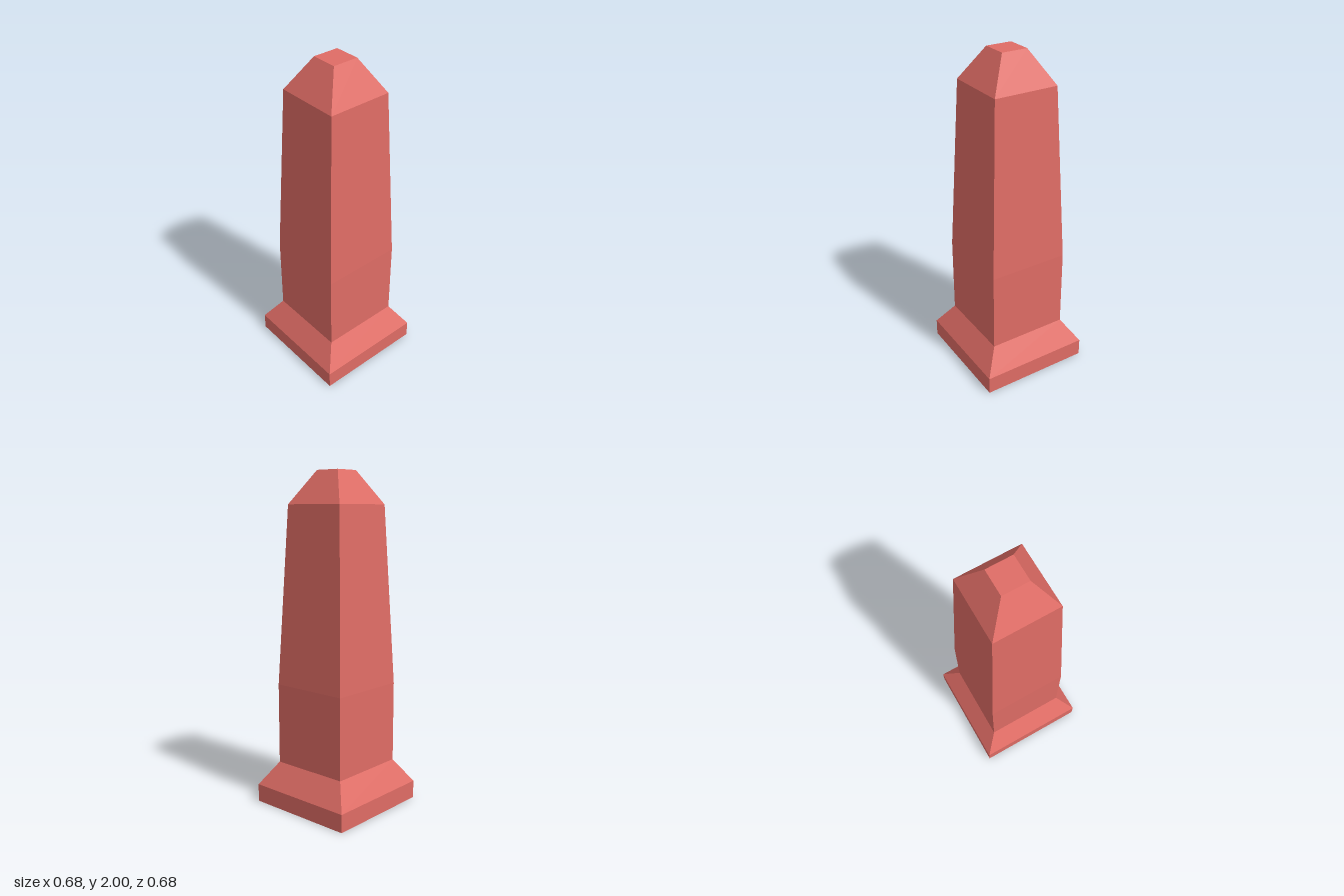
import * as THREE from 'three';

export function createModel() {
  const group = new THREE.Group();
  group.name = 'obelisk';
  const stone = new THREE.MeshStandardMaterial({ color: 0xdf6c65 });
  stone.name = 'red stone';

  function add(name, geometry) {
    const mesh = new THREE.Mesh(geometry, stone);
    mesh.name = name;
    group.add(mesh);
  }

  // Square tapered section, open at both ends, with flat faces
  function section(name, y0, half0, y1, half1) {
    const g = new THREE.CylinderGeometry(
      half1 * Math.SQRT2, half0 * Math.SQRT2, y1 - y0, 4, 1, true, Math.PI / 4
    ).toNonIndexed();
    g.translate(0, (y0 + y1) / 2, 0);
    g.computeVertexNormals();
    add(name, g);
  }

  // Horizontal square closing an end
  function cap(name, y, half, up) {
    const g = new THREE.PlaneGeometry(half * 2, half * 2);
    g.rotateX(up ? -Math.PI / 2 : Math.PI / 2);
    g.translate(0, y, 0);
    add(name, g);
  }

  // Profile from the ground up: section name, lower height and half width
  const profile = [
    ['plinth', 0, 0.341],
    ['plinthSlope', 0.108, 0.341],
    ['lowerShaft', 0.252, 0.247],
    ['upperShaft', 0.74, 0.247],
    ['crown', 1.806, 0.198],
    ['top', 2, 0.079],
  ];
  for (let i = 0; i < profile.length - 1; i++) {
    const [name, y0, h0] = profile[i];
    const [, y1, h1] = profile[i + 1];
    section(name, y0, h0, y1, h1);
  }
  cap('underside', 0, 0.341, false);
  cap('topFace', 2, 0.079, true);

  return group;
}
